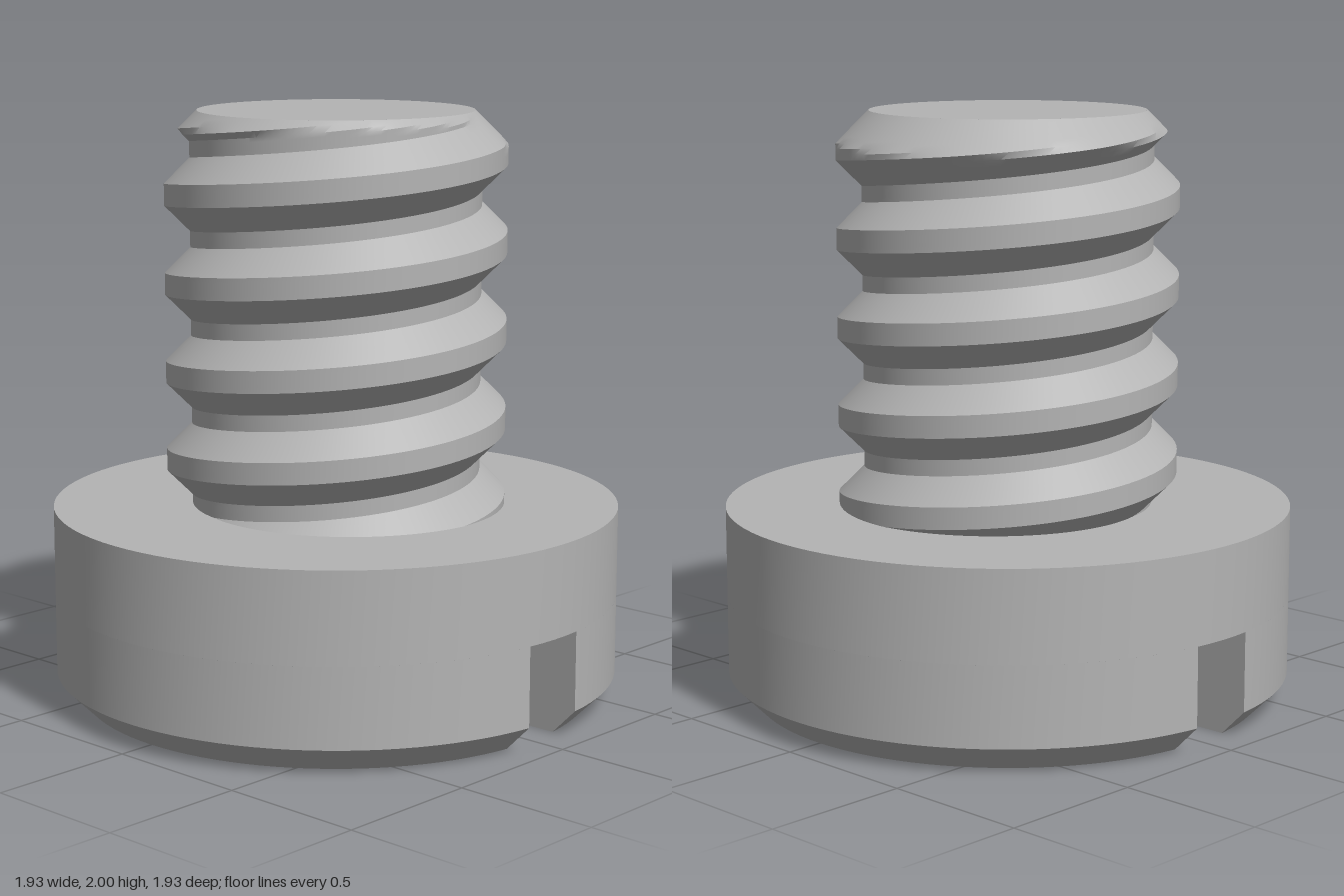
import * as THREE from 'three';
import { toCreasedNormals } from 'three/addons/utils/BufferGeometryUtils.js';

const HEAD_R = 0.963, HEAD_TOP = 0.667;
const BASE_R = 0.873, CHAMFER_Y = 0.09;
const SLOT_HALF = 0.118, SLOT_TOP = 0.36;
const PITCH = 0.3, CREST_R = 0.576, ROOT_R = 0.49, CREST_HALF = 0.037;
const TOP = 2, TIP_R = 0.465;

// Surface through points f(i, j); zero-area triangles are dropped
function surface(nu, nv, f) {
  const pos = [];
  const ab = new THREE.Vector3(), ac = new THREE.Vector3();
  const tri = (a, b, c) => {
    ab.subVectors(b, a);
    ac.subVectors(c, a);
    if (ab.cross(ac).length() < 1e-9) return;
    for (const p of [a, b, c]) pos.push(p.x, p.y, p.z);
  };
  for (let j = 0; j < nv; j++) {
    for (let i = 0; i < nu; i++) {
      const a = f(i, j), b = f(i + 1, j), c = f(i, j + 1), d = f(i + 1, j + 1);
      tri(a, c, b);
      tri(b, c, d);
    }
  }
  const g = new THREE.BufferGeometry();
  g.setAttribute('position', new THREE.Float32BufferAttribute(pos, 3));
  return toCreasedNormals(g, 0.5);
}

const polar = (r, y, t) => new THREE.Vector3(r * Math.cos(t), y, r * Math.sin(t));

// Upper part of the head: outer wall and shoulder around the shaft
function headUpper() {
  const profile = [[HEAD_R, SLOT_TOP], [HEAD_R, HEAD_TOP], [0.48, HEAD_TOP]];
  const n = 96;
  return surface(n, 2, (i, j) => polar(profile[j][0], profile[j][1], (i % n) / n * Math.PI * 2));
}

// One chamfered half of the head beside the slot
function headHalf() {
  // radius, height, on the slot wall or on the outer arc
  const rows = [
    [HEAD_R, SLOT_TOP, true], [HEAD_R, CHAMFER_Y, true], [BASE_R, 0, true],
    [BASE_R, 0, false], [HEAD_R, CHAMFER_Y, false], [HEAD_R, SLOT_TOP, false],
  ];
  const n = 48;
  return surface(n, rows.length - 1, (i, j) => {
    const [r, y, onWall] = rows[j];
    const start = Math.asin(SLOT_HALF / r);
    const p = polar(r, y, THREE.MathUtils.lerp(start, Math.PI - start, i / n));
    if (onWall) p.z = SLOT_HALF;
    return p;
  });
}

// Ceiling of the slot, with ends following the head's rim
function slotRoof() {
  return surface(1, 8, (i, j) => {
    const z = SLOT_HALF * (1 - j / 4);
    return new THREE.Vector3((2 * i - 1) * Math.sqrt(HEAD_R ** 2 - z * z), SLOT_TOP, z);
  });
}

// Helical thread with flat crests and roots, chamfered at the tip
function thread() {
  const flank = CREST_HALF + CREST_R - ROOT_R;
  const breaks = [-CREST_HALF, CREST_HALF, flank, PITCH - flank, PITCH - CREST_HALF];
  const sub = 4, perTurn = 4 * sub, n = 120;
  return surface(n, perTurn * 7, (i, j) => {
    const t = i / n * Math.PI * 2;
    const crest = 0.63 - PITCH * i / n;
    const turn = Math.floor(j / perTurn), k = j % perTurn, s = Math.floor(k / sub);
    const offset = THREE.MathUtils.lerp(breaks[s], breaks[s + 1], (k % sub) / sub);
    const y = THREE.MathUtils.clamp(crest + turn * PITCH + offset, HEAD_TOP - 0.01, TOP);
    const phase = (y - crest) / PITCH;
    const d = Math.abs(phase - Math.round(phase)) * PITCH;
    const r = THREE.MathUtils.clamp(CREST_R + CREST_HALF - d, ROOT_R, CREST_R);
    return polar(Math.min(r, TIP_R + TOP - y), y, t);
  });
}

export function createModel() {
  const model = new THREE.Group();
  model.name = 'slottedScrew';
  const steel = new THREE.MeshStandardMaterial({ color: 0xb4b4b4 });
  steel.name = 'grey steel';

  const add = (name, geometry, parent = model) => {
    const mesh = new THREE.Mesh(geometry, steel);
    mesh.name = name;
    parent.add(mesh);
    return mesh;
  };

  // Head
  const head = new THREE.Group();
  head.name = 'head';
  model.add(head);
  add('headUpper', headUpper(), head);
  add('slotRoof', slotRoof(), head);
  const half = headHalf();
  add('frontHeadHalf', half, head);
  add('backHeadHalf', half, head).rotation.y = Math.PI;

  // Shaft
  add('thread', thread());
  const tip = add('shaftTip', new THREE.CircleGeometry(TIP_R, 96));
  tip.rotation.x = -Math.PI / 2;
  tip.position.y = TOP;

  return model;
}
